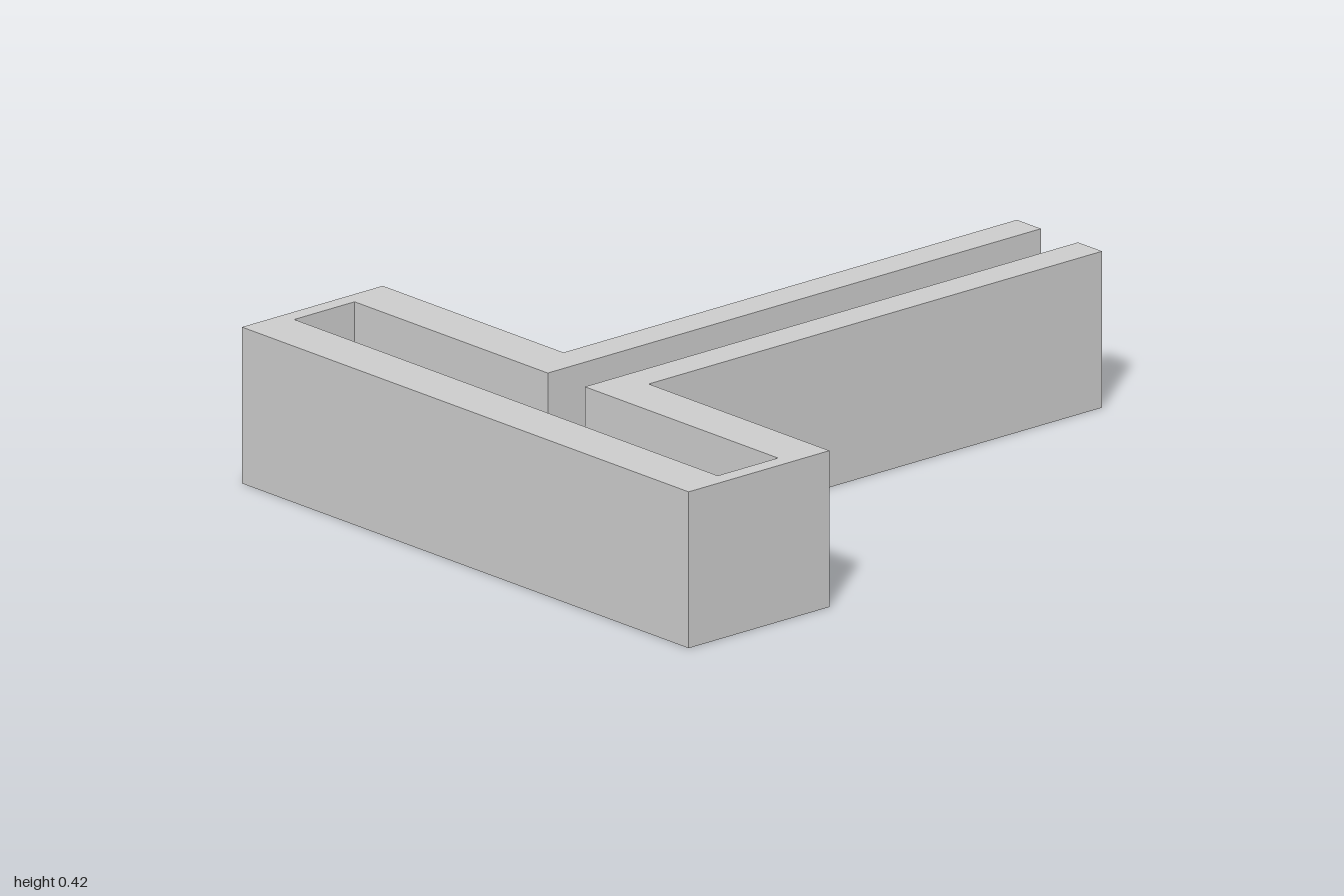
import * as THREE from 'three';

const HEIGHT = 0.416;

export function createModel() {
  const group = new THREE.Group();
  group.name = 'slottedBracket';

  // Half of the wall outline in plan (x, z): outer side from front to rail tip, then the inner side back
  const outer = [[0.844, 1], [0.844, 0.526], [0.161, 0.526], [0.161, -1]];
  const inner = [[0.07, -1], [0.07, 0.66], [0.8, 0.66], [0.8, 0.863]];
  const half = [...outer, ...inner];
  const mirrored = half.map(([x, z]) => [-x, z]).reverse();

  // One continuous wall: T-shaped channel, open top and bottom and between the rails
  const shape = new THREE.Shape([...half, ...mirrored].map(([x, z]) => new THREE.Vector2(x, -z)));
  const geometry = new THREE.ExtrudeGeometry(shape, { depth: HEIGHT, bevelEnabled: false });
  geometry.rotateX(-Math.PI / 2); // plan lies flat, extrusion points up

  const wall = new THREE.Mesh(geometry, new THREE.MeshStandardMaterial({ color: 0xcccccc }));
  wall.name = 'channelWall';
  group.add(wall);
  return group;
}
